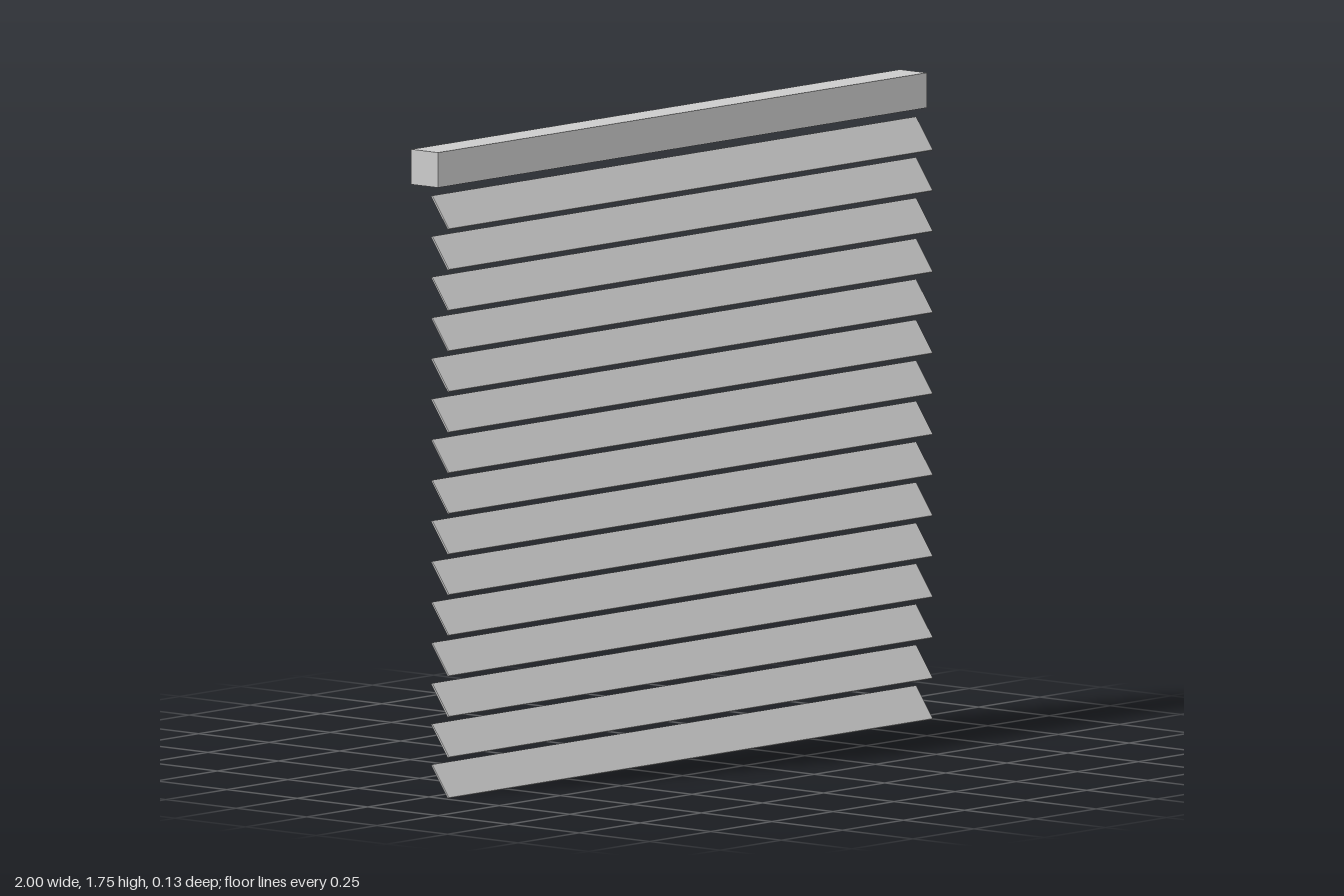
import * as THREE from 'three';

export function createModel() {
  const group = new THREE.Group();
  const material = new THREE.MeshStandardMaterial({ color: 0xcccccc, flatShading: true });

  // Head rail across the top
  const rail = new THREE.Mesh(new THREE.BoxGeometry(2, 0.095, 0.095), material);
  rail.name = 'headRail';
  rail.position.set(0, 1.7, -0.015);
  group.add(rail);

  // Evenly spaced slats, tilted with the front edge down
  const slats = new THREE.Group();
  slats.name = 'slats';
  const count = 15, pitch = 0.11, tilt = THREE.MathUtils.degToRad(55);
  const depth = 0.103, thickness = 0.005;
  const halfHeight = (depth * Math.sin(tilt) + thickness * Math.cos(tilt)) / 2;
  const slatGeometry = new THREE.BoxGeometry(1.98, thickness, depth);
  for (let i = 0; i < count; i++) {
    const slat = new THREE.Mesh(slatGeometry, material);
    slat.name = `slat${i + 1}`;
    slat.rotation.x = tilt;
    slat.position.set(0, halfHeight + i * pitch, 0.031);
    slats.add(slat);
  }
  group.add(slats);

  return group;
}
